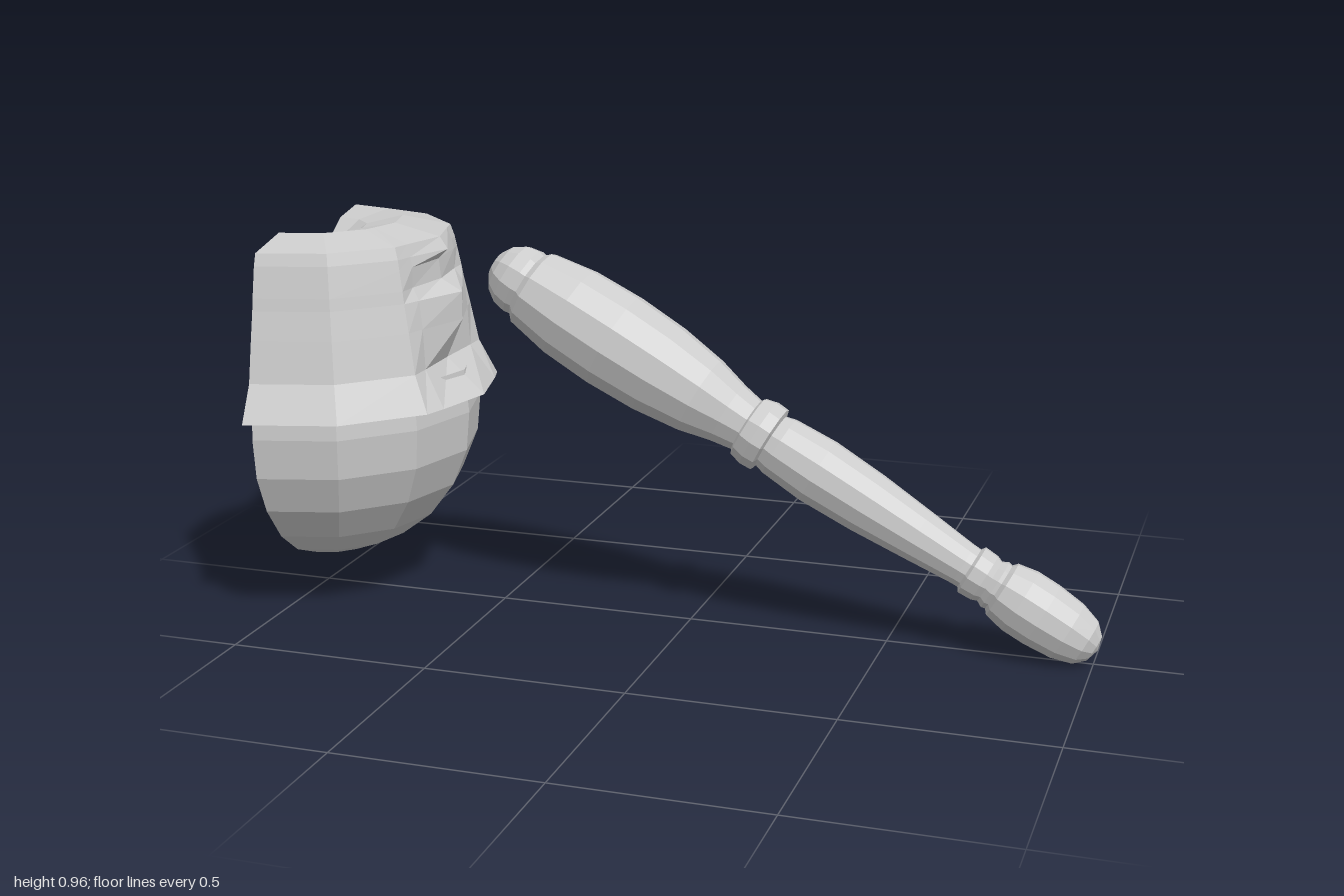
import * as THREE from 'three';

const CUT = -0.98; // plane where the half torso is open
const material = new THREE.MeshStandardMaterial({ color: 0xcccccc, flatShading: true, side: THREE.DoubleSide });
const points = (list) => list.map(([r, y]) => new THREE.Vector2(r, y));

function addMesh(parent, name, geometry) {
  const mesh = new THREE.Mesh(geometry, material);
  mesh.name = name;
  parent.add(mesh);
  return mesh;
}

// Surface from equally long rows of [x, y, z] points
function gridGeometry(rows) {
  const n = rows[0].length, index = [];
  for (let i = 0; i < rows.length - 1; i++) {
    for (let j = 0; j < n - 1; j++) {
      const a = i * n + j, b = a + n;
      index.push(a, b, a + 1, b, b + 1, a + 1);
    }
  }
  const geometry = new THREE.BufferGeometry();
  geometry.setAttribute('position', new THREE.Float32BufferAttribute(rows.flat(2), 3));
  geometry.setIndex(index);
  geometry.computeVertexNormals();
  return geometry;
}

function createTorso() {
  const torso = new THREE.Group();
  torso.name = 'halfTorso';

  // Rounded lower body, open on the cut plane
  const bowl = addMesh(torso, 'lowerBody', new THREE.LatheGeometry(points([
    [0, 0.1], [0.1, 0.11], [0.2, 0.15], [0.28, 0.21], [0.345, 0.295],
    [0.385, 0.39], [0.395, 0.49], [0.385, 0.6],
  ]), 6, 0, Math.PI));
  bowl.position.x = CUT;

  // Jacket rows: height, radius, radius beside the socket, radius at its middle
  const profile = [
    [0.545, 0.39, 0.38, 0.39],
    [0.54, 0.44, 0.43, 0.437],
    [0.63, 0.395, 0.37, 0.34],
    [0.73, 0.375, 0.365, 0.385],
    [0.80, 0.36, 0.355, 0.385],
    [0.83, 0.355, 0.335, 0.33],
    [0.88, 0.345, 0.335, 0.325],
    [0.905, 0.34, 0.33, 0.35],
    [0.935, 0.33, 0.32, 0.33],
    [0.963, 0.21, 0.205, 0.21],
    [0.945, 0.12, 0.117, 0.12],
    [0.905, 0.06, 0.058, 0.06],
    [0.89, 0, 0, 0],
  ];
  const angles = [-90, -60, -30, -22, 0, 22, 30, 60, 90];
  const rows = profile.map(([y, r, side, middle]) => angles.map((deg) => {
    const a = THREE.MathUtils.degToRad(deg);
    const radius = deg === 0 ? middle : Math.abs(deg) === 22 ? side : r;
    return [CUT + radius * Math.cos(a), y, radius * Math.sin(a)];
  }));
  addMesh(torso, 'jacket', gridGeometry(rows));

  // Narrow lapels turned inwards along the open edge
  for (const s of [1, -1]) {
    addMesh(torso, s > 0 ? 'frontLapel' : 'backLapel', gridGeometry([
      [[CUT, 0.55, s * 0.43], [CUT, 0.55, s * 0.4]],
      [[CUT, 0.64, s * 0.39], [-1, 0.7, s * 0.31]],
      [[CUT, 0.8, s * 0.36], [-1, 0.77, s * 0.21]],
      [[CUT, 0.88, s * 0.345], [CUT, 0.83, s * 0.2]],
    ]));
  }
  return torso;
}

function createArm() {
  // Built along +y from the shoulder, then tilted down towards the hand
  const arm = new THREE.Group();
  arm.name = 'arm';
  const sections = {
    upperArm: [[0.07, 0.0], [0.1, 0.03], [0.119, 0.14], [0.124, 0.27], [0.118, 0.4], [0.101, 0.52],
      [0.08, 0.6], [0.069, 0.66]],
    elbowCuff: [[0.062, 0.65], [0.08, 0.66], [0.088, 0.69], [0.086, 0.72], [0.07, 0.725]],
    forearm: [[0.066, 0.71], [0.077, 0.75], [0.084, 0.86], [0.078, 1.0], [0.066, 1.14], [0.054, 1.27],
      [0.053, 1.31]],
    wristCuff: [[0.05, 1.285], [0.064, 1.295], [0.062, 1.33], [0.056, 1.345], [0.064, 1.36], [0.056, 1.39]],
    hand: [[0.05, 1.36], [0.073, 1.38], [0.083, 1.43], [0.083, 1.49], [0.076, 1.56], [0.06, 1.61],
      [0.035, 1.635], [0, 1.645]],
  };
  addMesh(arm, 'shoulderBall', new THREE.SphereGeometry(0.088, 12, 8));
  for (const [name, profile] of Object.entries(sections)) {
    addMesh(arm, name, new THREE.LatheGeometry(points(profile), 12));
  }
  arm.position.set(-0.43, 0.835, 0);
  arm.rotation.z = THREE.MathUtils.degToRad(-119);
  return arm;
}

export function createModel() {
  const model = new THREE.Group();
  model.name = 'torsoAndArm';
  model.add(createTorso(), createArm());
  return model;
}
